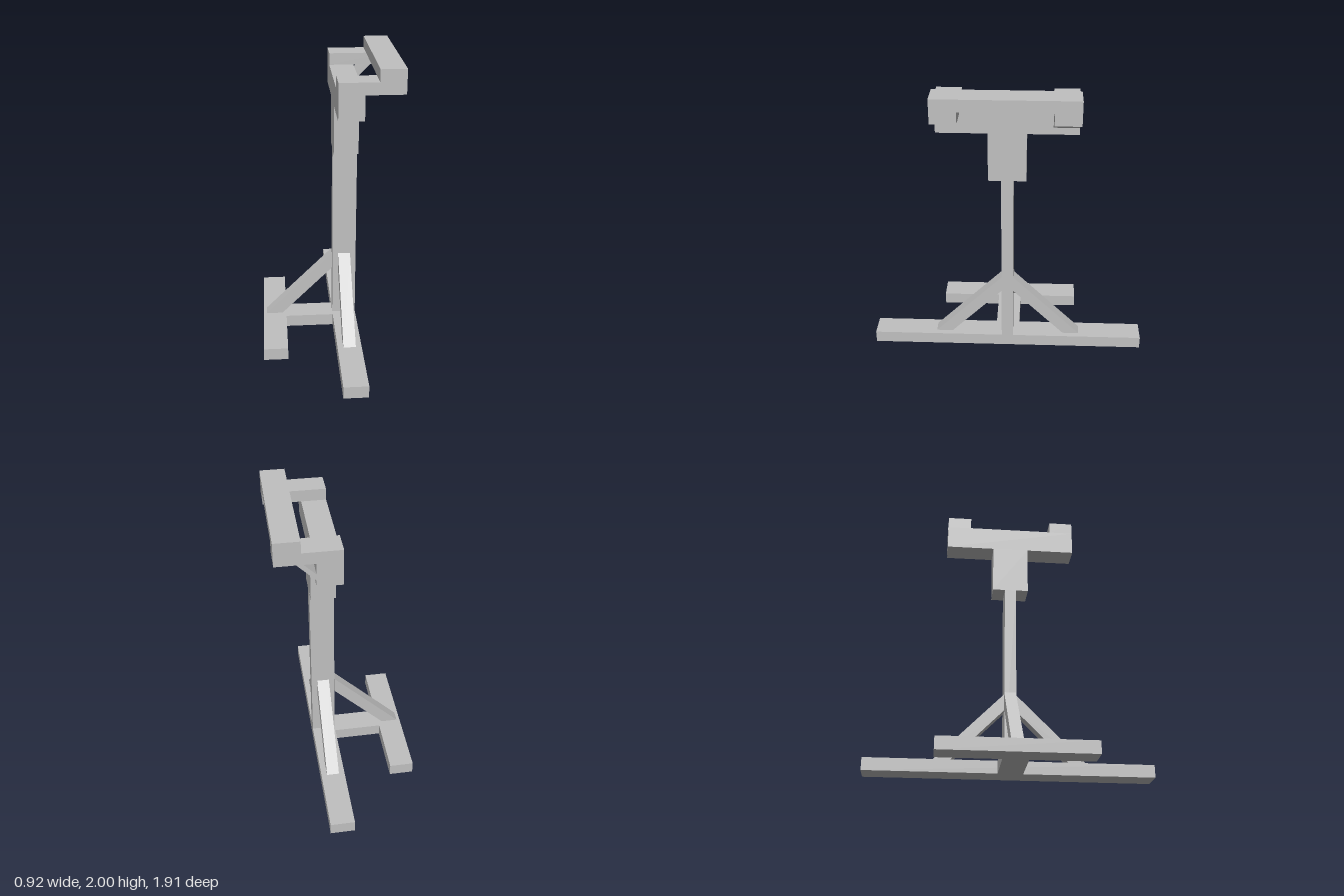
import * as THREE from 'three';

export function createModel() {
  const model = new THREE.Group();
  const timber = new THREE.MeshStandardMaterial({ color: 0xc0c0c0 });
  timber.name = 'grey timber';

  const add = (name, geometry) => {
    const mesh = new THREE.Mesh(geometry, timber);
    mesh.name = name;
    model.add(mesh);
    return mesh;
  };

  // Box given by its extents along each axis
  const beam = (name, [x0, x1], [y0, y1], [z0, z1]) =>
    add(name, new THREE.BoxGeometry(x1 - x0, y1 - y0, z1 - z0))
      .position.set((x0 + x1) / 2, (y0 + y1) / 2, (z0 + z1) / 2);

  // Mitred diagonal strut: profile leans out along +x, centred on z, then turned about y
  const strut = (name, points, width, turn, x, z) => {
    const shape = new THREE.Shape(points.map(([px, py]) => new THREE.Vector2(px, py)));
    const geometry = new THREE.ExtrudeGeometry(shape, { depth: width, bevelEnabled: false });
    geometry.translate(0, 0, -width / 2);
    geometry.rotateY(turn);
    geometry.translate(x, 0, z);
    add(name, geometry);
  };

  const main = [0.04, 0.205]; // thickness shared by base, post and head
  const mid = 0.1225;

  // Base
  beam('baseBeam', main, [0, 0.085], [-0.9575, 0.9575]);
  beam('baseCrosspiece', [-0.295, 0.04], [0, 0.085], [-0.083, 0.083]);
  beam('rearFoot', [-0.46, -0.295], [0, 0.085], [-0.5, 0.5]);

  // Post and head
  beam('post', main, [0.085, 1.34], [-0.04, 0.04]);
  beam('postBlock', main, [1.34, 1.675], [-0.125, 0.125]);
  beam('headBeam', main, [1.675, 1.84], [-0.4575, 0.4575]);

  // Arms carrying the raised outer rail
  for (const [name, z] of [['frontArm', [0.292, 0.4575]], ['backArm', [-0.4575, -0.292]]]) {
    beam(name, [0.04, 0.457], [1.84, 1.92], z);
  }
  beam('outerRail', [0.292, 0.457], [1.92, 2], [-0.4575, 0.4575]);

  // Struts around the foot of the post
  const legProfile = [[0, 0.445], [0.36, 0.085], [0.475, 0.085], [0, 0.56]];
  strut('frontStrut', legProfile, 0.085, -Math.PI / 2, mid, 0.04);
  strut('backStrut', legProfile, 0.085, Math.PI / 2, mid, -0.04);
  strut('sideStrut', legProfile, 0.078, Math.PI, 0.037, -0.003);

  // Small strut under the back arm
  strut('armStrut', [[0, 1.722], [0.118, 1.84], [0.075, 1.84], [0, 1.765]],
    0.1655, 0, 0.205, -0.37475);

  return model;
}
